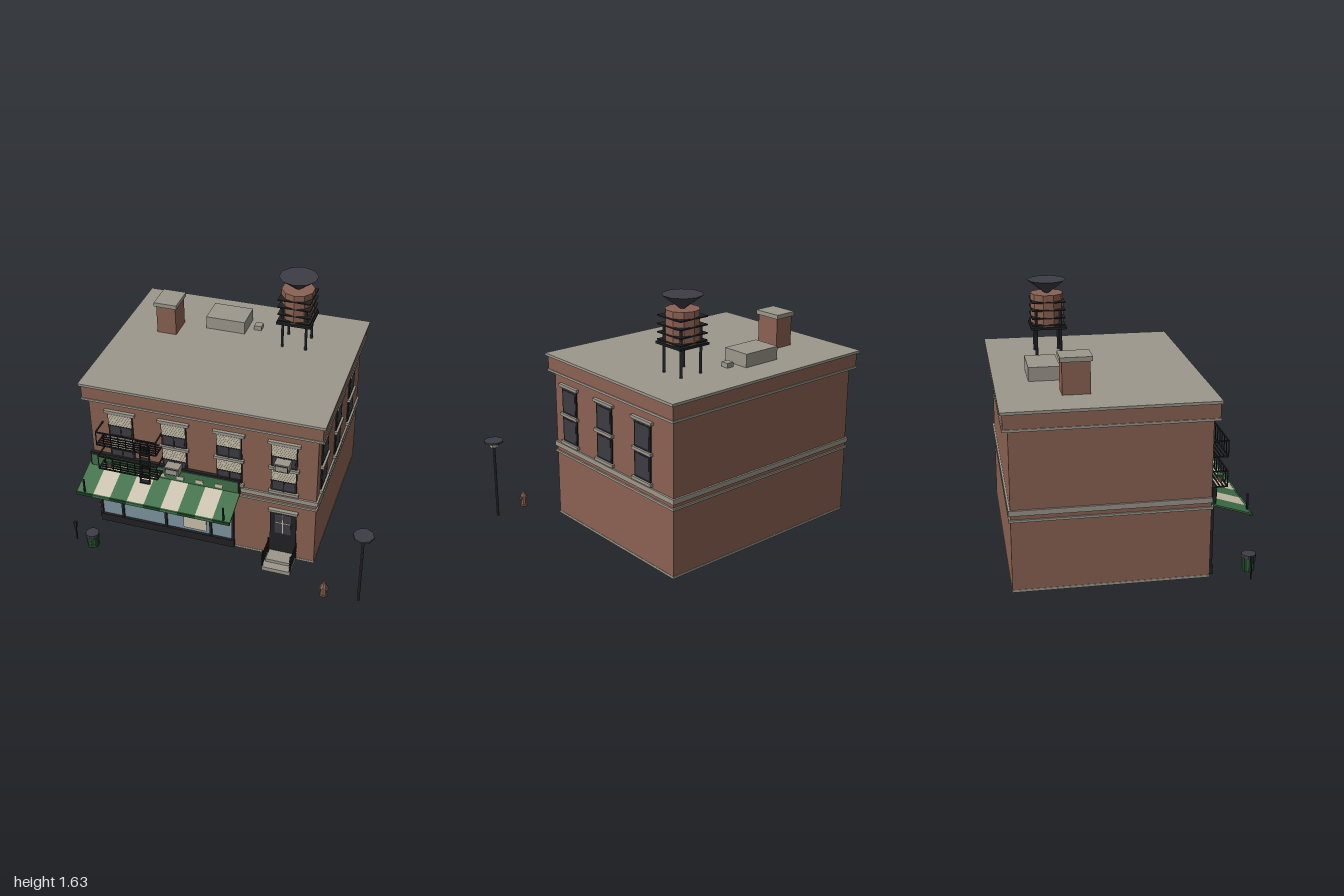
import * as THREE from 'three';

const mat = (name, color) => {
  const m = new THREE.MeshStandardMaterial({ color });
  m.name = name;
  return m;
};

export function createModel() {
  const brick = mat('brick', 0x8a6152), stone = mat('stone', 0x9c978c), black = mat('black iron', 0x212124);
  const dark = mat('dark glass', 0x3d3b44), blue = mat('shop glass', 0x7e95a1), green = mat('green', 0x3f7048);
  const deep = mat('deep green', 0x1f4229), cream = mat('cream', 0xcbc3ae);
  const model = new THREE.Group();
  model.name = 'cornerShopBuilding';

  const group = (name, parent = model) => {
    const g = new THREE.Group();
    g.name = name;
    parent.add(g);
    return g;
  };
  const add = (parent, name, geo, m, x, y, z) => {
    const mesh = new THREE.Mesh(geo, m);
    mesh.name = name;
    mesh.position.set(x, y, z);
    parent.add(mesh);
    return mesh;
  };
  // Box given by its extents
  const box = (p, name, m, x0, x1, y0, y1, z0, z1) => add(p, name,
    new THREE.BoxGeometry(x1 - x0, y1 - y0, z1 - z0), m, (x0 + x1) / 2, (y0 + y1) / 2, (z0 + z1) / 2);
  // Upright faceted cylinder from y0 to y1
  const cyl = (p, name, m, x, z, y0, y1, rTop, rBottom = rTop, sides = 10) => add(p, name,
    new THREE.CylinderGeometry(rTop, rBottom, y1 - y0, sides).toNonIndexed(), m, x, (y0 + y1) / 2, z)
    .geometry.computeVertexNormals();
  // Thin square bar between two points
  const bar = (p, name, m, a, b, t = 0.008) => {
    const A = new THREE.Vector3(...a), B = new THREE.Vector3(...b);
    const mesh = add(p, name, new THREE.BoxGeometry(t, t, A.distanceTo(B)), m, 0, 0, 0);
    mesh.position.copy(A).add(B).multiplyScalar(0.5);
    mesh.lookAt(B);
    return mesh;
  };

  // Walls, ledges and cornice
  const shell = group('building');
  box(shell, 'walls', brick, -0.92, 0.585, 0, 1.05, -0.725, 0.465);
  box(shell, 'plinth', stone, -0.922, 0.587, 0.001, 0.017, -0.727, 0.467);
  box(shell, 'upperLedge', stone, -0.932, 0.597, 0.495, 0.528, -0.737, 0.477);
  box(shell, 'lowerLedge', stone, -0.93, 0.595, 0.453, 0.468, -0.735, 0.475);
  box(shell, 'corniceTrim', stone, -0.955, 0.62, 1.015, 1.03, -0.76, 0.5);
  box(shell, 'parapet', brick, -0.95, 0.615, 1.03, 1.12, -0.755, 0.495);
  box(shell, 'roof', stone, -0.965, 0.63, 1.12, 1.137, -0.77, 0.505);

  // Windows: built facing +z at the origin, then placed on a wall
  const makeWindow = (name, w, y0, y1, blinds, lintel) => {
    const g = group(name), h = w / 2;
    box(g, 'frame', black, -h, h, y0, y1, -0.01, 0.008);
    box(g, 'pane', dark, -h + 0.014, h - 0.014, y0 + 0.014, y1 - 0.014, 0.008, 0.01);
    box(g, 'sill', stone, -h - 0.014, h + 0.014, y0 - 0.02, y0, -0.01, 0.022);
    if (lintel) {
      box(g, 'lintel', stone, -h - 0.02, h + 0.02, y1 + 0.008, y1 + 0.027, -0.01, 0.022);
      box(g, 'lintelBase', stone, -h - 0.01, h + 0.01, y1, y1 + 0.008, -0.01, 0.016);
    }
    if (blinds) {
      for (let i = 0; i < 6; i++) {
        const y = y1 - 0.004 - i * 0.0135;
        box(g, 'blindSlat', cream, -h + 0.006, h - 0.006, y - 0.0128, y, 0.008, 0.013);
      }
      box(g, 'mullion', black, -0.004, 0.004, y0, y1 - 0.085, 0.009, 0.014);
      box(g, 'meetingRail', black, -h, h, y1 - 0.093, y1 - 0.085, 0.009, 0.014);
    }
    return g;
  };
  for (const x of [-0.71, -0.35, 0.016, 0.373]) {
    makeWindow('upperFrontWindow', 0.168, 0.755, 0.925, true, true).position.set(x, 0, 0.465);
    makeWindow('lowerFrontWindow', 0.168, 0.565, 0.735, true, false).position.set(x, 0, 0.465);
  }
  for (const z of [0.302, -0.068, -0.446]) {
    for (const [y0, y1, top] of [[0.755, 0.925, true], [0.56, 0.73, false]]) {
      const w = makeWindow('sideWindow', 0.155, y0, y1, false, top);
      w.position.set(0.585, 0, z);
      w.rotation.y = Math.PI / 2;
    }
  }

  // Window air conditioners
  for (const [x, y] of [[0.373, 0.77], [-0.35, 0.573]]) {
    const ac = group('airConditioner');
    box(ac, 'case', stone, x - 0.048, x + 0.048, y, y + 0.058, 0.465, 0.54);
    box(ac, 'grilleEdge', black, x - 0.041, x + 0.041, y + 0.007, y + 0.051, 0.54, 0.542);
    box(ac, 'grille', stone, x - 0.036, x + 0.036, y + 0.012, y + 0.046, 0.542, 0.544);
  }

  // Shop front
  const shop = group('shopFront');
  box(shop, 'shopGlass', blue, -0.9, 0.043, 0.06, 0.45, 0.46, 0.472);
  box(shop, 'kickBoard', black, -0.905, 0.048, 0.012, 0.07, 0.46, 0.49);
  for (const x of [-0.896, -0.742, -0.432, -0.117, 0.037])
    box(shop, 'mullion', black, x - 0.008, x + 0.008, 0.06, 0.45, 0.465, 0.485);
  box(shop, 'transom', black, -0.9, 0.043, 0.277, 0.292, 0.465, 0.483);
  for (const [x, m] of [[-0.667, cream], [-0.59, brick], [-0.513, cream], [-0.31, brick], [-0.235, cream]]) {
    bar(shop, 'hangerHook', black, [x, 0.32, 0.495], [x, 0.4, 0.495], 0.005);
    cyl(shop, 'hangingGoods', m, x, 0.495, 0.243, 0.332, 0.016, 0.016, 8);
  }
  box(shop, 'smallBoard', brick, -0.187, -0.022, 0.312, 0.357, 0.485, 0.492);
  box(shop, 'noticeBoard', cream, -0.304, -0.144, 0.103, 0.2, 0.484, 0.49);

  // Fascia and striped awning
  const awning = group('awning');
  box(awning, 'fascia', black, -0.935, 0.09, 0.49, 0.595, 0.465, 0.488);
  box(awning, 'fasciaPanel', green, -0.925, 0.08, 0.495, 0.58, 0.488, 0.493);
  for (let i = 0; i < 7; i++) {
    const x = -0.83 + i * 0.13;
    box(awning, 'fasciaBlock', cream, x - 0.024, x + 0.024, 0.511, 0.538, 0.493, 0.497);
  }
  const stripe = 1.045 / 9;
  for (let i = 0; i < 9; i++) {
    const x = -0.955 + (i + 0.5) * stripe;
    const s = add(awning, 'awningStripe', new THREE.BoxGeometry(stripe, 0.01, 0.247), i % 2 ? cream : green, x, 0.453, 0.583);
    s.rotation.x = 0.309;
    box(awning, 'valance', i % 2 ? green : deep, x - stripe / 2, x + stripe / 2, 0.402, 0.424, 0.695, 0.707);
  }
  for (const x of [-0.9, 0.045]) {
    bar(awning, 'awningPost', black, [x, 0.405, 0.69], [x, 0.525, 0.69], 0.01);
    bar(awning, 'awningArm', deep, [x, 0.4, 0.69], [x, 0.47, 0.47], 0.01);
  }

  // Fire escape: two railed landings and a ladder
  const escape = group('fireEscape');
  const L = -0.835, R = -0.432, F = 0.582;
  for (const y of [0.745, 0.553]) {
    const top = y + 0.098;
    for (let i = 0; i < 6; i++) {
      const z = 0.475 + i * 0.021;
      bar(escape, 'landingSlat', black, [L, y, z], [R, y, z], 0.007);
    }
    for (const h of [y, top]) {
      bar(escape, 'frontRail', black, [L, h, F], [R, h, F]);
      for (const x of [L, R]) bar(escape, 'sideRail', black, [x, h, 0.465], [x, h, F]);
    }
    for (let i = 0; i <= 8; i++) {
      const x = L + (R - L) * i / 8;
      bar(escape, 'baluster', black, [x, y, F], [x, top, F], 0.005);
    }
  }
  for (const x of [-0.567, -0.503])
    bar(escape, 'ladderRail', black, [x, 0.75, 0.515], [x, 0.335, 0.56]);
  for (let i = 0; i < 10; i++) {
    const t = (i + 0.5) / 10, y = 0.75 - 0.415 * t, z = 0.515 + 0.045 * t;
    box(escape, 'rung', black, -0.567, -0.503, y - 0.004, y + 0.004, z - 0.016, z + 0.016);
  }
  cyl(escape, 'flowerPot', brick, -0.77, 0.555, 0.56, 0.59, 0.018, 0.013, 8);
  add(escape, 'plant', new THREE.IcosahedronGeometry(0.025, 0), green, -0.77, 0.61, 0.555);

  // Door, steps and hand rails
  const entry = group('entrance');
  box(entry, 'doorFrame', black, 0.288, 0.462, 0.04, 0.392, 0.46, 0.475);
  box(entry, 'doorGlass', dark, 0.322, 0.428, 0.215, 0.375, 0.475, 0.48);
  box(entry, 'glassBar', cream, 0.372, 0.378, 0.215, 0.375, 0.48, 0.483);
  box(entry, 'glassBar', cream, 0.322, 0.428, 0.302, 0.308, 0.48, 0.483);
  box(entry, 'doorLintel', stone, 0.278, 0.472, 0.392, 0.41, 0.46, 0.492);
  box(entry, 'lowerStep', stone, 0.278, 0.468, 0, 0.03, 0.46, 0.625);
  box(entry, 'upperStep', stone, 0.288, 0.46, 0.03, 0.052, 0.46, 0.57);
  for (const x of [0.28, 0.465]) {
    for (const z of [0.48, 0.61]) bar(entry, 'railPost', black, [x, 0.02, z], [x, 0.155, z]);
    for (const y of [0.05, 0.078, 0.105, 0.132])
      bar(entry, 'handRail', black, [x, y, 0.465], [x, y, 0.635], 0.006);
  }

  // Rooftop chimney, housing and vent
  const top = group('rooftop');
  box(top, 'chimney', brick, -0.71, -0.577, 1.13, 1.337, -0.39, -0.222);
  box(top, 'chimneyCap', stone, -0.722, -0.565, 1.337, 1.365, -0.402, -0.21);
  box(top, 'roofHousing', stone, -0.412, -0.142, 1.13, 1.224, -0.558, -0.365);
  box(top, 'roofVent', stone, -0.097, -0.047, 1.13, 1.168, -0.49, -0.437);

  // Water tank on legs with a flared lid
  const tank = group('waterTank'), tx = 0.218, tz = -0.372;
  for (const sx of [-1, 1]) for (const sz of [-1, 1])
    cyl(tank, 'tankLeg', dark, tx + sx * 0.079, tz + sz * 0.079, 1.13, 1.432, 0.009, 0.009, 8);
  box(tank, 'tankDeck', black, tx - 0.115, tx + 0.115, 1.318, 1.333, tz - 0.115, tz + 0.115);
  cyl(tank, 'tankBarrel', brick, tx, tz, 1.333, 1.54, 0.108);
  for (const y of [1.345, 1.39, 1.442, 1.494])
    box(tank, 'tankHoop', black, tx - 0.108, tx + 0.108, y - 0.004, y + 0.004, tz - 0.108, tz + 0.108);
  cyl(tank, 'tankLid', dark, tx, tz, 1.53, 1.627, 0.128, 0.002);

  // Street lamp
  const lamp = group('streetLamp');
  cyl(lamp, 'lampPole', dark, 0.935, 0.7, 0, 0.51, 0.009, 0.009, 8);
  cyl(lamp, 'lampShade', cream, 0.935, 0.7, 0.503, 0.535, 0.036, 0.028, 8);
  cyl(lamp, 'lampCap', dark, 0.935, 0.7, 0.535, 0.548, 0.065, 0.065, 8);

  // Fire hydrant
  const hydrant = group('hydrant');
  cyl(hydrant, 'hydrantBase', brick, 0.715, 0.72, 0, 0.012, 0.027, 0.027, 8);
  cyl(hydrant, 'hydrantBody', brick, 0.715, 0.72, 0.012, 0.075, 0.019, 0.021, 8);
  cyl(hydrant, 'hydrantCap', brick, 0.715, 0.72, 0.075, 0.105, 0.008, 0.024, 8);
  box(hydrant, 'hydrantOutlets', brick, 0.687, 0.743, 0.052, 0.068, 0.712, 0.728);

  // Litter bin
  const bin = group('litterBin');
  cyl(bin, 'binBody', deep, -0.862, 0.725, 0, 0.095, 0.043, 0.038);
  for (let i = 0; i < 10; i++) {
    const a = i * Math.PI / 5, c = Math.sin(a), s = Math.cos(a);
    bar(bin, 'binRib', green, [-0.862 + c * 0.038, 0.005, 0.725 + s * 0.038], [-0.862 + c * 0.043, 0.09, 0.725 + s * 0.043], 0.005);
  }
  cyl(bin, 'binLid', dark, -0.862, 0.725, 0.095, 0.11, 0.045, 0.047);

  // Parking post
  const post = group('parkingPost');
  cyl(post, 'postPole', black, -0.99, 0.705, 0, 0.115, 0.005, 0.005, 6);
  box(post, 'postHead', black, -1, -0.98, 0.112, 0.153, 0.697, 0.713);
  return model;
}
